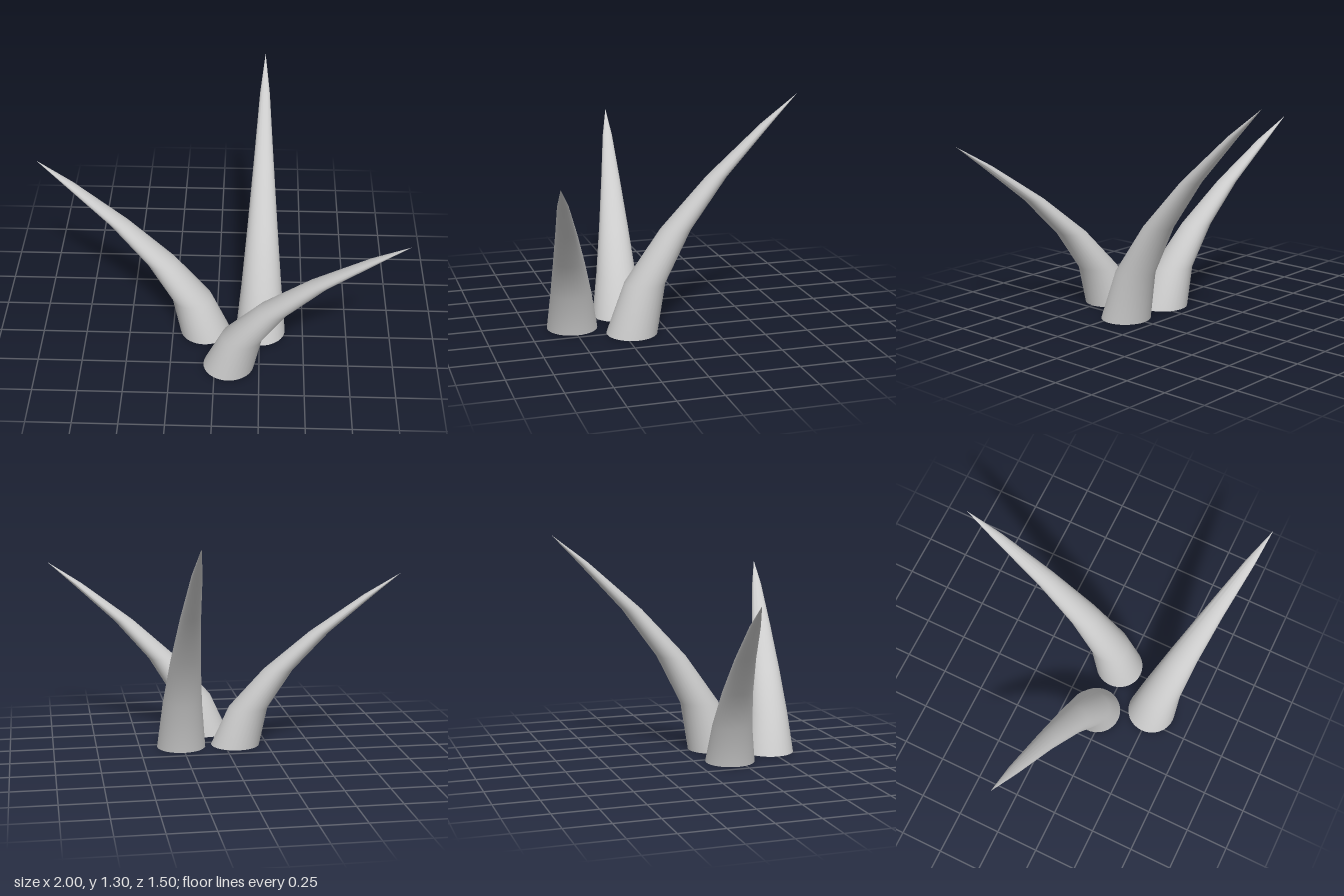
import * as THREE from 'three';
import { toCreasedNormals } from 'three/addons/utils/BufferGeometryUtils.js';

const RADIUS = 0.142;
const RINGS = 5;
// Share of the total rise and of the total sideways reach at each level ring
const RISE = [0, 0.22, 0.442, 0.661, 0.876, 1];
const REACH = [0, 0.08, 0.264, 0.512, 0.81, 1];

// Horn with level cross-sections that taper evenly while the axis sweeps outwards
function hornGeometry(base, tip) {
  const geometry = new THREE.CylinderGeometry(0, RADIUS, 1, 32, RINGS);
  const pos = geometry.attributes.position;
  for (let i = 0; i < pos.count; i++) {
    const ring = Math.round((pos.getY(i) + 0.5) * RINGS);
    pos.setXYZ(
      i,
      pos.getX(i) + THREE.MathUtils.lerp(base[0], tip[0], REACH[ring]),
      THREE.MathUtils.lerp(base[1], tip[1], RISE[ring]),
      pos.getZ(i) + THREE.MathUtils.lerp(base[2], tip[2], REACH[ring])
    );
  }
  // Smooth along the horn, sharp at the flat base
  return toCreasedNormals(geometry, 0.9);
}

export function createModel() {
  const group = new THREE.Group();
  group.name = 'hornCluster';
  const material = new THREE.MeshStandardMaterial({ color: 0xcccccc });

  const horns = [
    { name: 'rightHorn', base: [-0.065, 0, 0.2], tip: [-1, 1.03, 0.02] },
    { name: 'leftHorn', base: [0.079, 0, 0.5], tip: [1, 1.03, 0.752] },
    { name: 'backHorn', base: [0.256, 0, 0.2], tip: [0.256, 1.3, -0.752] },
  ];
  for (const { name, base, tip } of horns) {
    const horn = new THREE.Mesh(hornGeometry(base, tip), material);
    horn.name = name;
    group.add(horn);
  }
  return group;
}
